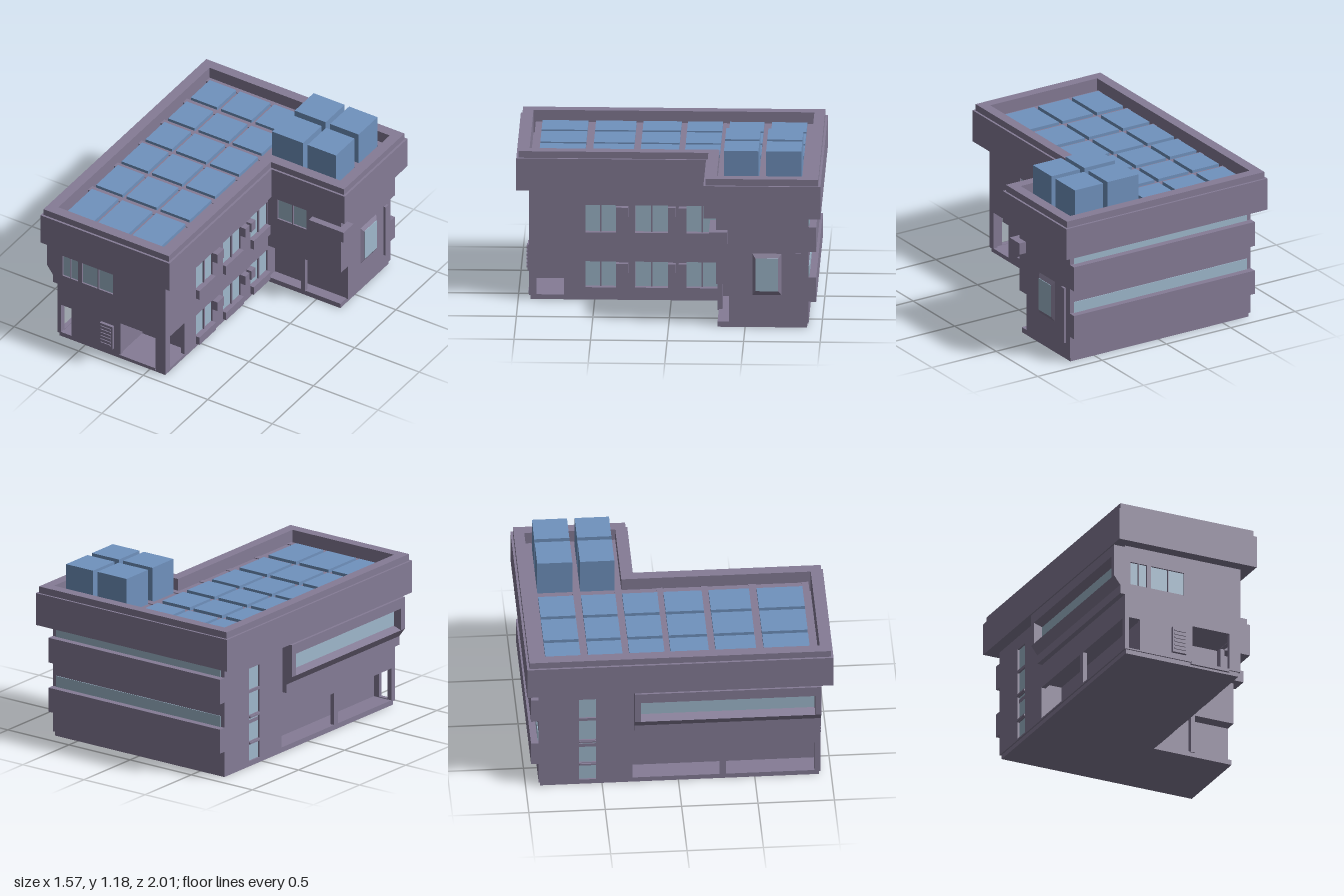
import * as THREE from 'three';

const mat = (color) => new THREE.MeshStandardMaterial({ color, flatShading: true });

export function createModel() {
  const root = new THREE.Group();
  const wallMat = mat(0x857c96), glassMat = mat(0x9fb8cc), skyMat = mat(0x7092be);

  const add = (name, geo, material = wallMat) => {
    const m = new THREE.Mesh(geo, material);
    m.name = name;
    root.add(m);
    return m;
  };
  // Box given by its limits on each axis
  const box = (name, x0, x1, y0, y1, z0, z1, material) =>
    add(name, new THREE.BoxGeometry(x1 - x0, y1 - y0, z1 - z0)
      .translate((x0 + x1) / 2, (y0 + y1) / 2, (z0 + z1) / 2), material);
  const outline = (pts, Type = THREE.Shape) => new Type(pts.map(([a, b]) => new THREE.Vector2(a, b)));
  const extrude = (shape, depth) => new THREE.ExtrudeGeometry(shape, { depth, bevelEnabled: false });

  // L-shaped plan, grown outward by d from the wall line
  const plan = (d) => [
    [-0.71 - d, -0.93 - d], [0.13 + d, -0.93 - d], [0.13 + d, 0.31 - d],
    [0.695 + d, 0.31 - d], [0.695 + d, 0.915 + d], [-0.71 - d, 0.915 + d]];
  const slab = (name, d, y0, y1, inner) => {
    const s = outline(plan(d));
    if (inner !== undefined) s.holes.push(outline(plan(inner), THREE.Path));
    add(name, extrude(s, y1 - y0).rotateX(-Math.PI / 2).translate(0, y0, 0));
  };

  // Upright wall along x (axis 'x') or z; at = outer face, out = side it faces.
  // Openings are [u0, u1, y0, y1, glazed].
  const T = 0.03;
  const wall = (name, axis, at, out, u0, u1, y0, y1, openings = []) => {
    const rect = (a, b, c, d) => [[a, c], [b, c], [b, d], [a, d]];
    const s = outline(rect(u0, u1, y0, y1));
    const mid = at - out * 0.016;
    for (const [a, b, c, d, glazed] of openings) {
      s.holes.push(outline(rect(a, b, c, d), THREE.Path));
      if (!glazed) continue;
      if (axis === 'x') box('windowPane', a, b, c, d, mid - 0.004, mid + 0.004, glassMat);
      else box('windowPane', mid - 0.004, mid + 0.004, c, d, a, b, glassMat);
    }
    const g = extrude(s, T);
    if (axis === 'x') g.translate(0, 0, out > 0 ? at - T : at);
    else g.rotateY(-Math.PI / 2).translate(out > 0 ? at : at + T, 0, 0);
    add(name, g);
  };

  // Base and the ceiling above the ground floor
  slab('base', -0.01, 0, 0.035);
  slab('groundCeiling', -0.01, 0.295, 0.32);

  // Front wall of the long wing
  wall('frontWall', 'x', 0.93, 1, -0.71, 0.13, 0.03, 0.77, [
    [-0.67, -0.613, 0.5, 0.66, true], [-0.607, -0.55, 0.5, 0.66, true],
    [-0.52, -0.398, 0.5, 0.66, true], [-0.392, -0.28, 0.5, 0.66, true],
    [-0.68, -0.6, 0.04, 0.26], [-0.22, 0.05, 0.036, 0.29]]);
  box('doorStep', -0.23, 0.05, 0.015, 0.037, 0.9, 0.935);
  box('ventPanel', -0.37, -0.27, 0.07, 0.25, 0.925, 0.95);
  for (let i = 0; i < 6; i++) {
    const y = 0.09 + i * 0.026;
    box('ventSlat', -0.36, -0.28, y, y + 0.012, 0.945, 0.957);
  }

  // Inner courtyard wall: two floors of three window pairs with sill boxes and cooling units
  const holes = [[0.7, 0.88, 0.036, 0.29]];
  const bays = [[0.36, 0.56], [0.02, 0.235], [-0.305, -0.1]];
  const units = [[0.28, 0.36], [-0.03, 0.02], [-0.1, -0.05]];
  for (const [sill, y0, y1] of [[0.4, 0.47, 0.65], [0.035, 0.095, 0.265]]) {
    for (const [a, b] of bays) {
      const m = (a + b) / 2;
      holes.push([a, m - 0.005, y0, y1, true], [m + 0.005, b, y0, y1, true]);
      box('windowSillBox', 0.125, 0.155, sill, y0, a, b);
    }
    for (const [a, b] of units) box('coolingUnit', 0.125, 0.167, y1 - 0.075, y1 - 0.005, a, b);
  }
  wall('courtyardWall', 'z', 0.13, 1, -0.4, 0.93, 0.03, 0.77, holes);

  // Corner porch and west gallery interiors
  box('porchBackWall', -0.26, 0.11, 0.035, 0.3, 0.62, 0.65);
  box('porchSideWall', -0.26, -0.23, 0.035, 0.3, 0.62, 0.91);
  box('galleryBackWall', -0.56, -0.53, 0.035, 0.3, -0.34, 0.91);
  box('galleryEndWall', -0.69, -0.54, 0.035, 0.3, -0.34, -0.31);

  // Short wing: upper walls, set-back ground floor, column and canopy
  wall('wingFrontWall', 'x', -0.31, 1, 0.13, 0.695, 0.295, 0.77, [
    [0.205, 0.317, 0.54, 0.695, true], [0.323, 0.43, 0.54, 0.695, true]]);
  wall('wingGroundWall', 'x', -0.395, 1, 0.12, 0.69, 0.03, 0.3);
  wall('wingSideWallUpper', 'z', 0.695, 1, -0.915, -0.31, 0.295, 0.77);
  wall('wingSideWallLower', 'z', 0.695, 1, -0.915, -0.395, 0.03, 0.3);
  box('porchColumn', 0.385, 0.415, 0.03, 0.3, -0.345, -0.312);
  box('cornerCanopy', 0.475, 0.745, 0.585, 0.665, -0.385, -0.265);
  box('sideFin', 0.69, 0.71, 0.12, 0.51, -0.865, -0.83);

  // Tapered window surround on the short wing
  const surround = new THREE.CylinderGeometry(0.76 * Math.SQRT1_2, Math.SQRT1_2, 0.02, 4)
    .rotateY(Math.PI / 4).rotateZ(-Math.PI / 2).scale(1, 0.29, 0.195).translate(0.703, 0.365, -0.643);
  add('windowSurround', surround);
  box('surroundPane', 0.7, 0.715, 0.255, 0.478, -0.716, -0.57, glassMat);

  // Back wall with projecting bands and ribbon windows above them
  wall('backWall', 'x', -0.915, -1, -0.71, 0.695, 0.03, 0.77);
  for (const [y0, y1, top] of [[0.52, 0.69, 0.77], [0.18, 0.345, 0.42]]) {
    box('backBand', -0.71, 0.695, y0, y1, -0.965, -0.91);
    box('ribbonWindow', -0.68, 0.665, y1, top, -0.92, -0.91, glassMat);
  }

  // West wall: stacked stair windows and open gallery
  const stairs = [[0.04, 0.155], [0.175, 0.335], [0.355, 0.51], [0.53, 0.68]];
  wall('westWall', 'z', -0.71, -1, -0.915, 0.93, 0.03, 0.77, [
    ...stairs.map(([a, b]) => [-0.65, -0.54, a, b, true]),
    [-0.3, 0.27, 0.04, 0.26], [0.31, 0.89, 0.04, 0.26]]);
  for (const y of [0.165, 0.345]) box('stairSill', -0.72, -0.7, y - 0.006, y + 0.006, -0.65, -0.54);

  // West bay: one side profile for the ends, a lower one for the sill, a lip on top
  const bayPart = (name, pts, z0, z1) => add(name, extrude(outline(pts), z1 - z0).translate(0, 0, z0));
  const foot = [[-0.7, 0.42], [-0.745, 0.42], [-0.745, 0.48], [-0.79, 0.54]];
  const end = [...foot, [-0.79, 0.76], [-0.7, 0.76]].reverse();
  bayPart('bayEnd', end, -0.29, -0.25);
  bayPart('bayEnd', end, 0.89, 0.93);
  bayPart('baySill', [...foot, [-0.73, 0.56], [-0.7, 0.56]].reverse(), -0.25, 0.89);
  bayPart('bayLip', [[-0.7, 0.67], [-0.73, 0.67], [-0.79, 0.69], [-0.79, 0.76], [-0.7, 0.76]].reverse(), -0.25, 0.89);
  box('bayWindow', -0.73, -0.705, 0.55, 0.68, -0.25, 0.89, glassMat);

  // Roof deck, parapet and its rim
  slab('roofDeck', 0.07, 0.77, 0.88);
  slab('parapet', 0.08, 0.77, 0.99, -0.005);
  slab('parapetRim', 0.065, 0.985, 1.035, -0.005);

  // Roof beams crossing between skylights
  const rows = [[-0.865, -0.635], [-0.585, -0.36], [-0.315, -0.085], [-0.045, 0.205], [0.25, 0.515], [0.565, 0.865]];
  const cols = [[-0.675, -0.47], [-0.44, -0.205], [-0.175, 0.05]];
  const wingCols = [[0.13, 0.37], [0.405, 0.625]];
  const zEdges = [-0.91, ...rows.flat(), 0.91];
  for (let i = 0; i < zEdges.length; i += 2)
    box('crossBeam', -0.705, i < 6 ? 0.685 : 0.13, 0.875, 0.955, zEdges[i], zEdges[i + 1]);
  for (const [a, b] of [[-0.47, -0.44], [-0.205, -0.175], [0.05, 0.125]])
    box('longBeam', a, b, 0.875, 0.95, -0.91, 0.91);
  for (const [a, b] of [[0.37, 0.405], [0.625, 0.685]])
    box('wingBeam', a, b, 0.875, 0.95, -0.91, -0.315);

  // Low skylights on the long wing, tall ones on the short wing
  for (const [z0, z1] of rows)
    for (const [x0, x1] of cols) box('skylight', x0, x1, 0.87, 0.975, z0, z1, skyMat);
  for (const [z0, z1] of rows.slice(0, 2))
    for (const [x0, x1] of wingCols) box('tallSkylight', x0, x1, 0.87, 1.185, z0, z1, skyMat);

  return root;
}
